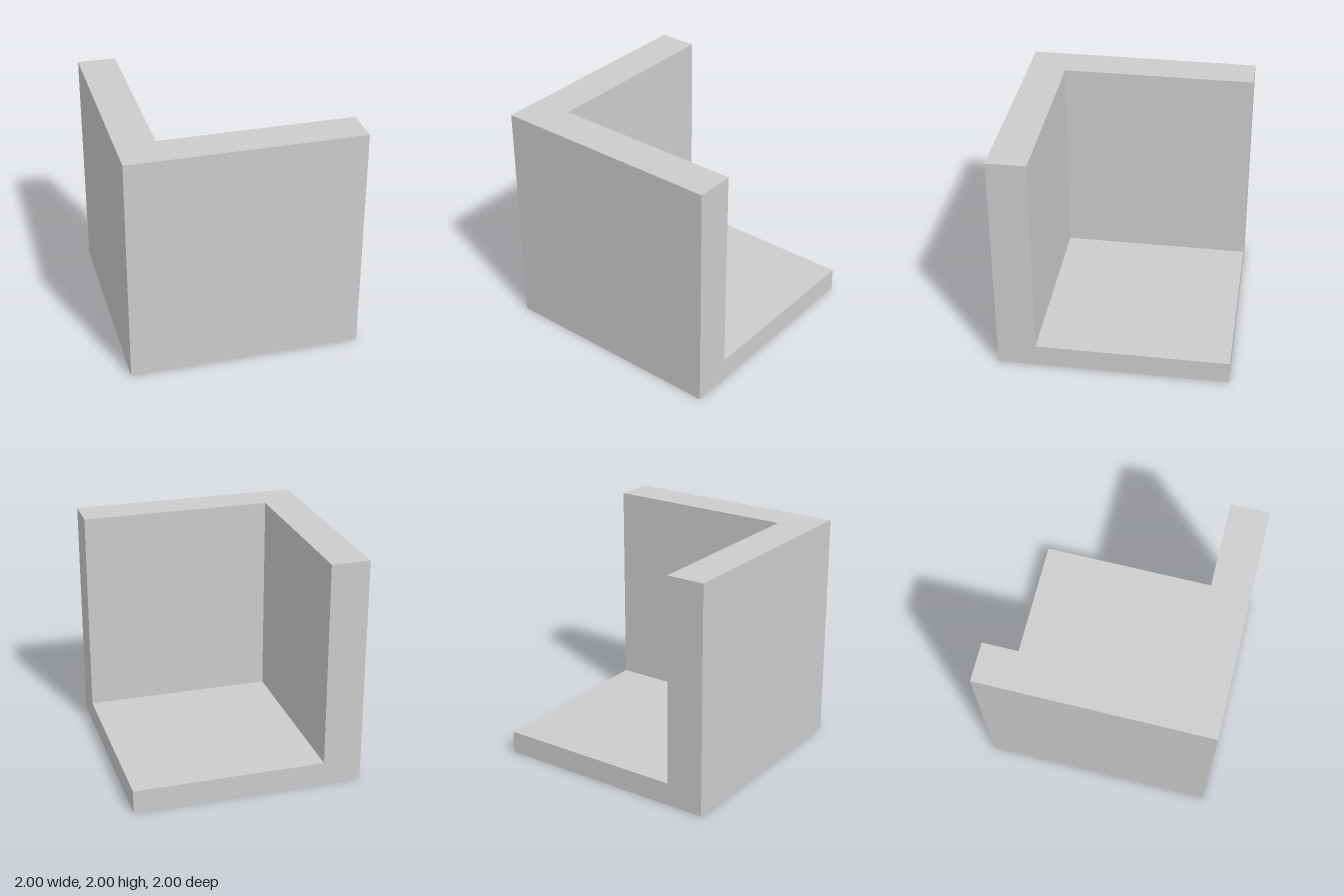
import * as THREE from 'three';

const HEIGHT = 2;
const INNER = 0.667; // distance from centre to the inner wall faces
const FLOOR = 0.2;

export function createModel() {
  const model = new THREE.Group();
  model.name = 'cornerBracket';
  const material = new THREE.MeshStandardMaterial({ color: 0xcccccc, flatShading: true });

  // Front and right walls: one L-shaped plan raised to full height
  const plan = new THREE.Shape([
    [-1, -1], [1, -1], [1, -INNER], [-INNER, -INNER], [-INNER, 1], [-1, 1],
  ].map(([x, y]) => new THREE.Vector2(x, y)));
  const wallGeometry = new THREE.ExtrudeGeometry(plan, { depth: HEIGHT, bevelEnabled: false });
  wallGeometry.rotateX(-Math.PI / 2);
  const walls = new THREE.Mesh(wallGeometry, material);
  walls.name = 'cornerWalls';
  model.add(walls);

  // Floor slab filling the inside of the corner
  const side = 1 + INNER;
  const floor = new THREE.Mesh(new THREE.BoxGeometry(side, FLOOR, side), material);
  floor.name = 'floor';
  floor.position.set(1 - side / 2, FLOOR / 2, -1 + side / 2);
  model.add(floor);

  return model;
}
